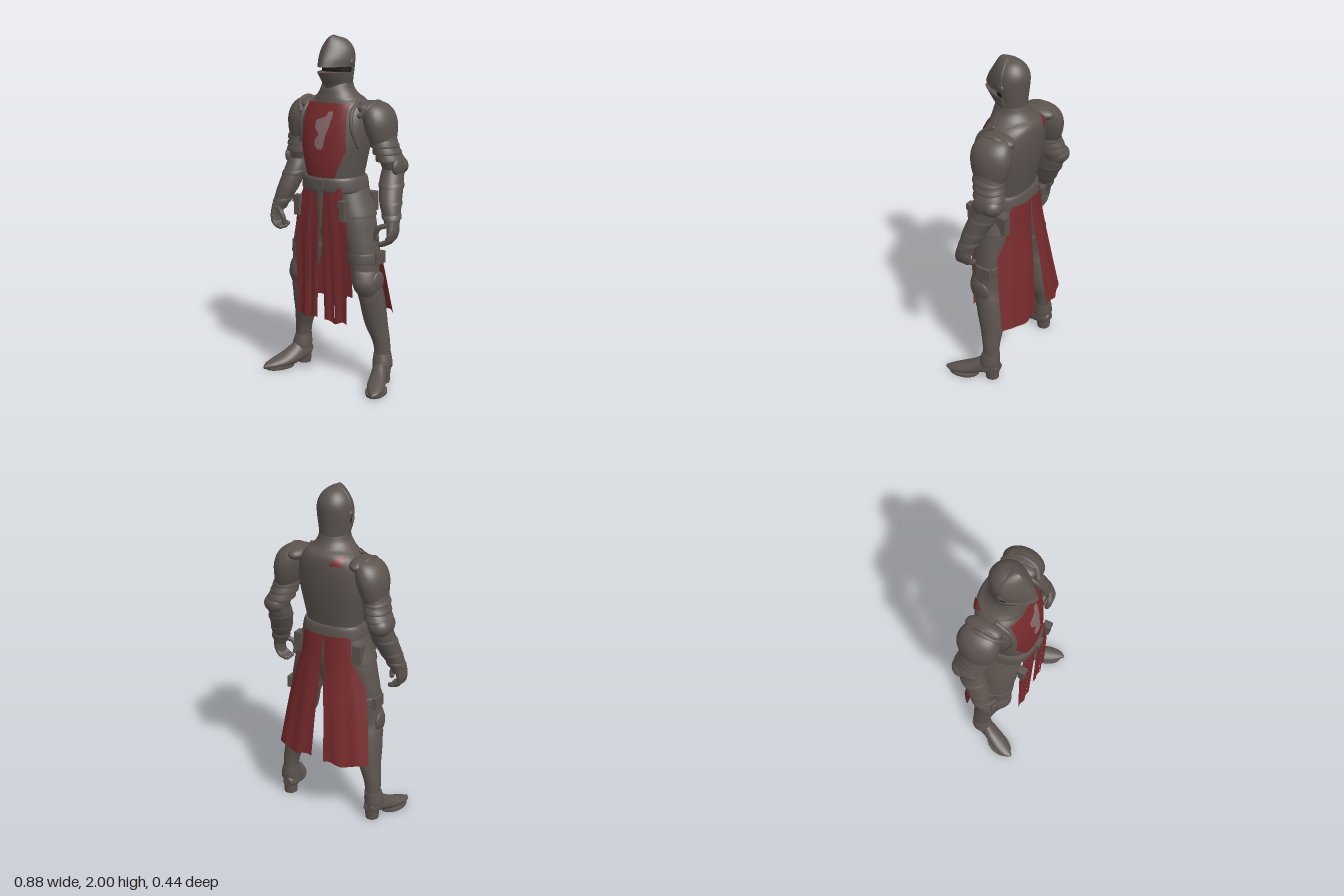
import * as THREE from 'three';
import { mergeGeometries } from 'three/addons/utils/BufferGeometryUtils.js';

const V = (x, y, z) => new THREE.Vector3(x, y, z);
const curve = (pts) => new THREE.CatmullRomCurve3(pts, false, 'catmullrom', 0.5);

function mat(name, color, double) {
  const m = new THREE.MeshStandardMaterial({ color });
  m.name = name;
  if (double) m.side = THREE.DoubleSide;
  return m;
}

function build(pos, idx) {
  const g = new THREE.BufferGeometry();
  g.setAttribute('position', new THREE.Float32BufferAttribute(pos, 3));
  g.setIndex(idx);
  g.computeVertexNormals();
  return g;
}

// Closed body from rows [y, cx, cz, rx, rFront, rBack], rising in y.
// pf and pb shape the front and back halves (2 = ellipse, lower = keeled, higher = boxy).
function loft(rows, { n = 36, sub = 5, pf = 2, pb = 2 } = {}) {
  if (rows[0][0] > rows[rows.length - 1][0]) rows = [...rows].reverse();
  const mid = curve(rows.map((r) => V(r[1], r[0], r[2])));
  const rad = curve(rows.map((r) => V(r[3], r[4], r[5] ?? r[4])));
  const pos = [], idx = [], steps = (rows.length - 1) * sub;
  const ring = (i) => {
    const c = mid.getPoint(i / steps), r = rad.getPoint(i / steps);
    for (let j = 0; j < n; j++) {
      const a = (j / n) * Math.PI * 2, co = Math.cos(a), s = Math.sin(a), e = 2 / (s > 0 ? pf : pb);
      pos.push(c.x + r.x * Math.sign(co) * Math.abs(co) ** e, c.y,
        c.z + (s > 0 ? r.y : r.z) * Math.sign(s) * Math.abs(s) ** e);
    }
    return c;
  };
  for (let i = 0; i <= steps; i++) {
    ring(i);
    for (let j = 0; i < steps && j < n; j++) {
      const a = i * n + j, b = i * n + (j + 1) % n;
      idx.push(a, a + n, b, b, a + n, b + n);
    }
  }
  for (const i of [0, steps]) {
    const o = pos.length / 3, c = ring(i);
    pos.push(c.x, c.y, c.z);
    for (let j = 0; j < n; j++) {
      const a = o + j, b = o + (j + 1) % n;
      idx.push(o + n, i ? b : a, i ? a : b);
    }
  }
  return build(pos, idx);
}

// Open sheet from a point function of u and v
function sheet(f, nu, nv) {
  const pos = [], idx = [];
  for (let i = 0; i <= nv; i++) for (let j = 0; j <= nu; j++) {
    pos.push(...f(j / nu, i / nv));
    const a = i * (nu + 1) + j;
    if (i < nv && j < nu) idx.push(a, a + nu + 1, a + 1, a + 1, a + nu + 1, a + nu + 2);
  }
  return build(pos, idx);
}

// Hanging cloth: rows [y, x, z, x, z, x, z] give three points across; u0..u1 cuts out a strip
function cloth(rows, u0 = 0, u1 = 1, fold = 0.005) {
  const cols = [1, 3, 5].map((k) => curve(rows.map((r) => V(r[k], r[0], r[k + 1]))));
  return sheet((s, v) => {
    const u = u0 + (u1 - u0) * s, [a, b, c] = cols.map((q) => q.getPoint(v));
    const wa = 2 * (u - 0.5) * (u - 1), wb = 4 * u * (1 - u), wc = 2 * u * (u - 0.5);
    const mix = (k) => a[k] * wa + b[k] * wb + c[k] * wc;
    return [mix('x'), mix('y') + 0.008 * v * Math.sin(u * 9), mix('z') + fold * v * Math.sin(u * 14 + v * 2)];
  }, 14, 24);
}

function rope(pts, r) {
  const path = curve(pts.map((p) => V(...p)));
  const ends = [0, 1].map((t) => new THREE.SphereGeometry(r, 10, 8).translate(...path.getPoint(t).toArray()));
  return mergeGeometries([new THREE.TubeGeometry(path, 16, r, 10), ...ends]);
}

const ball = (x, y, z, rx, ry, rz) => new THREE.SphereGeometry(1, 28, 20).scale(rx, ry, rz).translate(x, y, z);
const box = (x, y, z, w, h, d) => new THREE.BoxGeometry(w, h, d).translate(x, y, z);

function mirror(geo) {
  const g = geo.clone().scale(-1, 1, 1), a = g.index.array;
  for (let i = 0; i < a.length; i += 3) [a[i + 1], a[i + 2]] = [a[i + 2], a[i + 1]];
  return g;
}

// Cuirass profile, shared with the cloth that lies on it
const TORSO = [
  [1.12, 0, 0, 0.175, 0.15, 0.105], [1.2, 0, 0, 0.163, 0.165, 0.105], [1.3, 0, 0, 0.178, 0.174, 0.125],
  [1.42, 0, 0, 0.2, 0.163, 0.148], [1.52, 0, 0, 0.205, 0.142, 0.16], [1.6, 0, 0, 0.188, 0.115, 0.163],
  [1.645, 0, -0.005, 0.15, 0.095, 0.15], [1.67, 0, -0.01, 0.11, 0.075, 0.115]];
const BODY_P = 2.4;

// Cloth laid on the cuirass: rows [y, xMin, xMax]
function applique(rows, lift, back = false) {
  const rad = curve(TORSO.map((r) => V(r[3], r[0], r[back ? 5 : 4])));
  return sheet((u, v) => {
    const s = Math.min(v * (rows.length - 1), rows.length - 1.0001), i = Math.floor(s);
    const [y, x0, x1] = rows[i].map((q, k) => q + (rows[i + 1][k] - q) * (s - i));
    let lo = 0, hi = 1;
    for (let k = 0; k < 24; k++) {
      const m = (lo + hi) / 2;
      if (rad.getPoint(m).y < y) lo = m; else hi = m;
    }
    const r = rad.getPoint(lo), x = x0 + (x1 - x0) * u;
    const z = r.z * Math.max(0, 1 - Math.abs(x / r.x) ** BODY_P) ** (1 / BODY_P) + lift;
    return [x, y, back ? -z : z];
  }, 16, 32);
}

export function createModel() {
  const steel = mat('darkSteel', 0x5b534e), red = mat('redCloth', 0x762a2c, true);
  const faded = mat('fadedPatch', 0x85686a, true), dark = mat('shadowBlack', 0x1f1b1a);
  const root = new THREE.Group();
  root.name = 'armouredKnight';
  const add = (name, geo, m = steel) => {
    const mesh = new THREE.Mesh(geo, m);
    mesh.name = name;
    root.add(mesh);
  };
  const pair = (name, geo, m = steel) => {
    add('left' + name, geo, m);
    add('right' + name, mirror(geo), m);
  };

  // Helmet
  add('skullCap', loft([[1.69, 0, 0, 0.082, 0.06, 0.09], [1.76, 0, 0, 0.088, 0.055, 0.092], [1.84, 0, 0, 0.098, 0.055, 0.1],
    [1.9, 0, 0, 0.097, 0.07, 0.103], [1.945, 0, 0, 0.08, 0.075, 0.085], [1.978, 0, 0, 0.046, 0.06, 0.05], [1.992, 0, 0.01, 0.006, 0.01, 0.01]]));
  add('eyeSlot', loft([[1.785, 0, 0, 0.094, 0.065, 0.02], [1.845, 0, 0, 0.098, 0.065, 0.02]], { sub: 1 }), dark);
  add('visor', loft([[1.83, 0, 0, 0.101, 0.16, 0.02], [1.875, 0, 0, 0.104, 0.142, 0.02], [1.925, 0, 0, 0.094, 0.112, 0.02],
    [1.965, 0, 0.005, 0.066, 0.083, 0.02], [1.988, 0, 0.02, 0.034, 0.05, 0.02], [2, 0, 0.04, 0.004, 0.012, 0.01]], { pf: 1.5 }));
  add('bevor', loft([[1.69, 0, 0, 0.082, 0.085, 0.06], [1.73, 0, 0, 0.087, 0.103, 0.06], [1.765, 0, 0, 0.094, 0.135, 0.04],
    [1.8, 0, 0, 0.1, 0.166, 0.02]], { pf: 1.5 }));
  pair('VisorPivot', ball(0.099, 1.855, 0, 0.01, 0.018, 0.018));

  // Neck and trunk
  add('gorget', loft([[1.625, 0, -0.01, 0.155, 0.118, 0.148], [1.65, 0, -0.01, 0.146, 0.114, 0.142], [1.675, 0, -0.005, 0.118, 0.104, 0.118],
    [1.705, 0, 0, 0.096, 0.094, 0.102], [1.74, 0, 0, 0.086, 0.08, 0.09]]));
  add('cuirass', loft(TORSO, { n: 48, pf: BODY_P, pb: BODY_P }));
  add('pelvis', loft([[0.8, 0, 0, 0.06, 0.06, 0.06], [0.9, 0, 0, 0.13, 0.1, 0.08], [1, 0, 0, 0.17, 0.12, 0.1], [1.15, 0, 0, 0.178, 0.135, 0.1]]));
  add('belt', loft([[1.135, 0, 0, 0.187, 0.175, 0.122], [1.15, 0, 0, 0.193, 0.183, 0.128], [1.205, 0, 0, 0.184, 0.186, 0.124],
    [1.222, 0, 0, 0.176, 0.178, 0.117]], { sub: 2, n: 48, pf: BODY_P, pb: BODY_P }));
  add('buckle', box(0.005, 1.185, 0.186, 0.06, 0.055, 0.026));
  add('beltTail', new THREE.CylinderGeometry(0.026, 0.008, 0.23, 4).scale(1, 1, 0.25).translate(0.005, 1.05, 0.178));
  pair('ArmholeRim', rope([[0.155, 1.645, 0.01], [0.16, 1.59, 0.09], [0.175, 1.5, 0.115], [0.195, 1.4, 0.08]], 0.011));
  pair('FrontPouch', box(0.155, 1.045, 0.165, 0.036, 0.11, 0.04));
  pair('PouchFlap', box(0.155, 1.085, 0.168, 0.044, 0.04, 0.046));
  pair('HipPouch', box(0.19, 1.07, -0.07, 0.05, 0.11, 0.06));

  // Tabard, faded patch and shoulder scraps
  add('tabard', applique([[1.632, -0.138, 0.138], [1.52, -0.142, 0.142], [1.38, -0.155, 0.15], [1.2, -0.085, 0.08]], 0.007), red);
  add('fadedPatch', applique([[1.59, 0.035, 0.062], [1.56, 0.02, 0.062], [1.54, -0.04, 0.056], [1.5, -0.043, 0.05], [1.46, -0.008, 0.036],
    [1.43, -0.036, 0.03], [1.4, -0.033, 0.03], [1.38, -0.01, 0.015]], 0.011), faded);
  add('shoulderScrap', applique([[1.648, -0.13, -0.085], [1.6, -0.125, -0.055]], 0.007, true), red);

  // Front skirt: two panels, each torn into strips
  const frontRight = [[1.17, -0.118, 0.155, -0.06, 0.17, -0.012, 0.172], [1, -0.17, 0.158, -0.09, 0.172, -0.012, 0.172],
    [0.78, -0.177, 0.157, -0.095, 0.168, -0.017, 0.167], [0.39, -0.172, 0.155, -0.1, 0.163, -0.03, 0.16]];
  const frontLeft = [[1.17, 0.13, 0.155, 0.075, 0.17, 0.025, 0.172], [1, 0.172, 0.158, 0.09, 0.172, 0.018, 0.172],
    [0.78, 0.179, 0.157, 0.095, 0.168, 0.016, 0.167], [0.385, 0.174, 0.155, 0.1, 0.163, 0.022, 0.16]];
  [[0, 0.63], [0.645, 1]].forEach(([a, b]) => add('frontRightSkirt', cloth(frontRight, a, b, 0.004), red));
  [[0, 0.5], [0.515, 1]].forEach(([a, b]) => add('frontLeftSkirt', cloth(frontLeft, a, b, 0.004), red));

  // Back skirt, flaring from the belt
  const backSkirt = (s, d) => [[1.17, 0.172 * s, -0.03, 0.115 * s, -0.118, 0.002 * s, -0.134], [0.98, 0.213 * s, -0.045, 0.135 * s, -0.128, 0.012 * s, -0.147],
    [0.7, 0.263 * s, -0.09, 0.155 * s, -0.165, 0.03 * s, -0.178 - d / 2], [0.4, 0.3 * s, -0.142, 0.178 * s, -0.197 - d / 2, 0.046 * s, -0.202 - d]];
  add('backLeftSkirt', cloth(backSkirt(1, 0)), red);
  add('backRightSkirt', cloth(backSkirt(-1, 0.02)), red);

  // Shoulders
  pair('Pauldron', loft([[1.4, 0.282, -0.045, 0.058, 0.085], [1.46, 0.272, -0.045, 0.074, 0.108], [1.53, 0.26, -0.045, 0.084, 0.12],
    [1.59, 0.245, -0.045, 0.078, 0.108], [1.63, 0.225, -0.045, 0.056, 0.075], [1.645, 0.215, -0.045, 0.01, 0.012]]));
  pair('PauldronCrest', rope([[0.2, 1.57, 0.072], [0.235, 1.615, 0.035], [0.24, 1.638, -0.045], [0.23, 1.61, -0.12]], 0.015));
  pair('ShoulderPlate', ball(0.195, 1.605, -0.045, 0.06, 0.04, 0.105));

  // Arms: inner limb, overlapping bands, elbow, forearm
  pair('UpperArm', loft([[1.26, 0.325, -0.085, 0.058, 0.066], [1.34, 0.31, -0.07, 0.066, 0.078], [1.42, 0.288, -0.05, 0.066, 0.085], [1.5, 0.27, -0.045, 0.066, 0.085]]));
  [[1.395, 0.287, -0.047], [1.355, 0.298, -0.058], [1.315, 0.312, -0.068]].forEach(([y, x, z], i) =>
    pair('ArmBand' + (i + 1), loft([[y, x, z, 0.075, 0.092], [y + 0.012, x, z, 0.076, 0.093], [y + 0.055, x - 0.01, z + 0.008, 0.062, 0.08]], { sub: 2 })));
  pair('ElbowCop', ball(0.335, 1.285, -0.105, 0.064, 0.056, 0.06));
  pair('ElbowWing', ball(0.372, 1.285, -0.065, 0.024, 0.055, 0.065));
  pair('Forearm', loft([[1.27, 0.328, -0.075, 0.06, 0.07], [1.2, 0.335, -0.047, 0.066, 0.075], [1.1, 0.358, -0.003, 0.061, 0.068],
    [1.03, 0.38, 0.022, 0.05, 0.055], [0.97, 0.395, 0.035, 0.036, 0.046]]));
  [[1.17, 0.343, -0.035, 0.068, 0.075], [1.08, 0.365, 0.003, 0.06, 0.066], [1.01, 0.386, 0.027, 0.052, 0.057]].forEach(([y, x, z, a, b], i) =>
    pair('ForearmBand' + (i + 1), loft([[y, x, z, a, b], [y + 0.02, x - 0.006, z - 0.008, a + 0.002, b + 0.002], [y + 0.045, x - 0.013, z - 0.018, a - 0.008, b - 0.01]], { sub: 2 })));

  // Hands with curled fingers
  pair('Palm', loft([[0.9, 0.402, 0.05, 0.02, 0.044], [0.94, 0.408, 0.047, 0.026, 0.05], [1, 0.4, 0.038, 0.034, 0.045]]));
  for (let i = 0; i < 4; i++) {
    const z = 0.015 + i * 0.024, d = i === 0 ? 0.01 : 0;
    pair('Finger' + (i + 1), rope([[0.408, 0.93, z], [0.402, 0.9 + d, z], [0.38, 0.878 + d, z], [0.35, 0.87 + d, z]], 0.0135));
  }
  pair('Thumb', rope([[0.385, 0.98, 0.075], [0.345, 0.965, 0.09], [0.325, 0.93, 0.09], [0.325, 0.9, 0.085]], 0.0145));

  // Legs
  pair('Leg', loft([[1.15, 0.1, 0, 0.09, 0.125, 0.1], [1, 0.135, 0, 0.108, 0.132, 0.1], [0.9, 0.157, 0, 0.108, 0.128, 0.088],
    [0.8, 0.187, 0, 0.096, 0.12, 0.075], [0.7, 0.205, 0.01, 0.08, 0.105, 0.075], [0.62, 0.222, 0.015, 0.075, 0.09, 0.075],
    [0.55, 0.235, 0.005, 0.072, 0.075, 0.085], [0.45, 0.245, -0.012, 0.07, 0.073, 0.083], [0.35, 0.255, -0.03, 0.064, 0.066, 0.072],
    [0.25, 0.28, -0.045, 0.05, 0.053], [0.16, 0.287, -0.048, 0.044, 0.05], [0.08, 0.288, -0.045, 0.045, 0.052]]));
  pair('HipPlate', loft([[1, 0.14, 0, 0.112, 0.136, 0.104], [1.02, 0.135, 0, 0.113, 0.137, 0.105], [1.15, 0.105, 0, 0.09, 0.126, 0.102]], { sub: 3 }));
  pair('ThighStrap', loft([[0.735, 0.199, 0.005, 0.09, 0.114, 0.078], [0.745, 0.198, 0.005, 0.094, 0.118, 0.081], [0.785, 0.19, 0.002, 0.101, 0.122, 0.081],
    [0.795, 0.188, 0.002, 0.098, 0.12, 0.077]], { sub: 1 }));
  pair('ThighPouch', box(0.284, 0.762, -0.005, 0.028, 0.07, 0.09));
  pair('KneeCop', loft([[0.54, 0.235, 0.045, 0.05, 0.04], [0.58, 0.228, 0.045, 0.072, 0.068], [0.62, 0.224, 0.045, 0.078, 0.083],
    [0.67, 0.213, 0.04, 0.078, 0.083], [0.71, 0.205, 0.035, 0.068, 0.078]], { pf: 1.7 }));
  pair('KneeWing', ball(0.293, 0.63, 0.015, 0.016, 0.055, 0.055));
  pair('ShinPlate', loft([[0.43, 0.247, 0.025, 0.02, 0.034], [0.49, 0.242, 0.02, 0.058, 0.058], [0.55, 0.235, 0.025, 0.07, 0.064]], { pf: 1.7 }));
  pair('AnkleCuff', loft([[0.1, 0.292, -0.04, 0.056, 0.062], [0.13, 0.291, -0.042, 0.057, 0.062], [0.185, 0.286, -0.048, 0.048, 0.054]], { sub: 3 }));

  // Boots: lofted heel to toe, then laid flat
  pair('Boot', loft([[-0.102, 0.284, -0.08, 0.03, 0.02, 0.03], [-0.06, 0.286, -0.07, 0.047, 0.03, 0.08], [0, 0.297, -0.06, 0.05, 0.038, 0.085],
    [0.06, 0.322, -0.045, 0.056, 0.042, 0.055], [0.12, 0.347, -0.033, 0.056, 0.032, 0.036], [0.18, 0.372, -0.025, 0.036, 0.023, 0.02],
    [0.218, 0.385, -0.02, 0.006, 0.012, 0.008]]).rotateX(Math.PI / 2));
  pair('Heel', new THREE.CylinderGeometry(0.044, 0.04, 0.07, 20).translate(0.287, 0.035, -0.055));
  pair('Sole', loft([[0, 0.345, 0.105, 0.06, 0.1, 0.085], [0.016, 0.345, 0.105, 0.061, 0.1, 0.085]], { sub: 1 })
    .translate(-0.345, 0, -0.105).rotateY(0.36).translate(0.345, 0, 0.105));
  return root;
}
